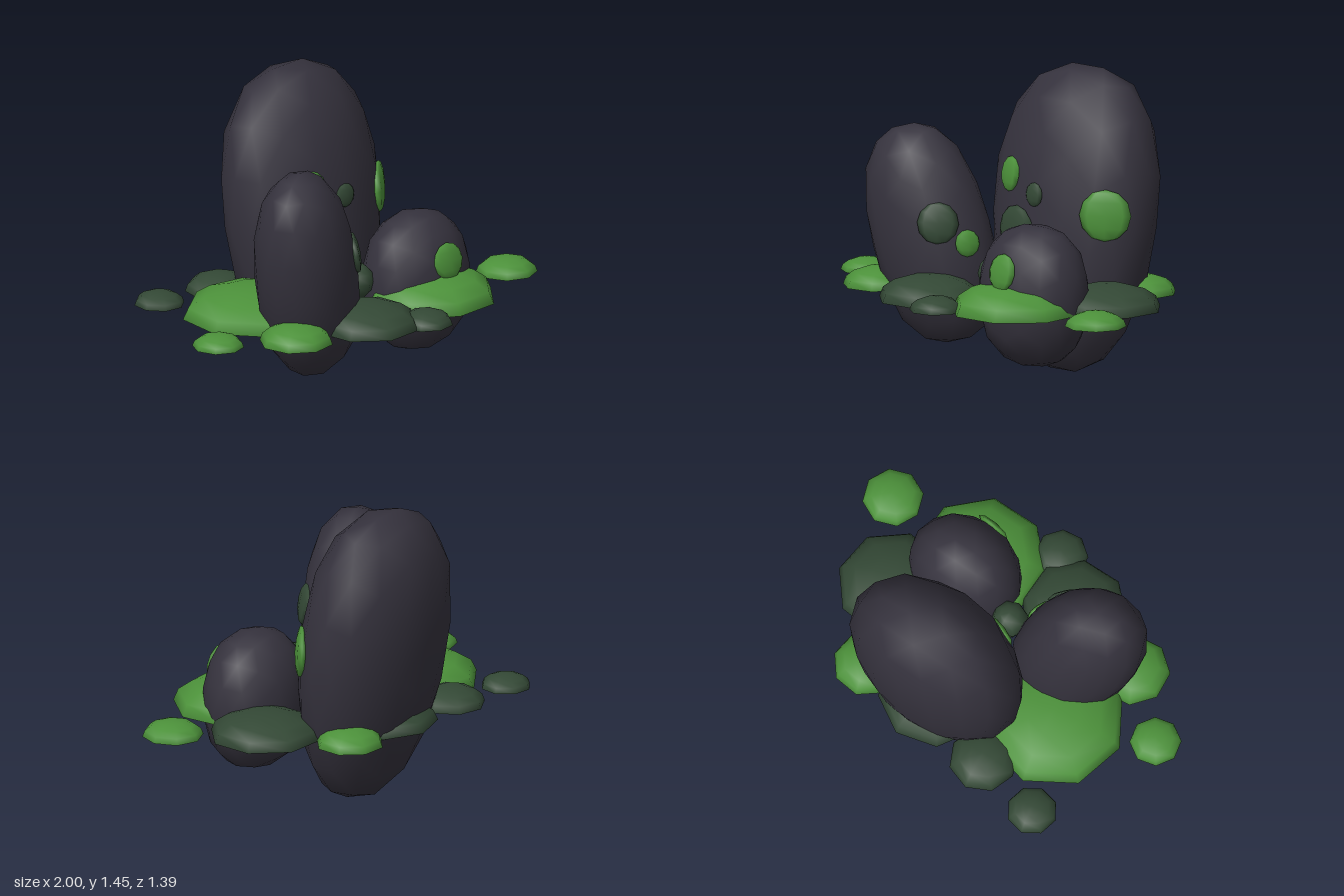
import * as THREE from 'three';
import { mergeVertices } from 'three/addons/utils/BufferGeometryUtils.js';

const rockMat = new THREE.MeshStandardMaterial({ color: 0x35323d });
const greenMat = new THREE.MeshStandardMaterial({ color: 0x4c913a, side: THREE.DoubleSide });
const darkMat = new THREE.MeshStandardMaterial({ color: 0x334835, side: THREE.DoubleSide });

const domeGeo = new THREE.SphereGeometry(1, 8, 4, 0, Math.PI * 2, 0, Math.PI / 2);
const patchGeo = new THREE.SphereGeometry(1, 8, 6);

const GROUND = 0.395;

// Blunt unit boulder, round from above; a positive taper narrows the bottom
function rockGeometry(power, taper) {
  const base = new THREE.IcosahedronGeometry(1, 2);
  base.deleteAttribute('normal');
  base.deleteAttribute('uv');
  const geo = mergeVertices(base);
  const pos = geo.attributes.position;
  const v = new THREE.Vector3();
  for (let i = 0; i < pos.count; i++) {
    v.fromBufferAttribute(pos, i);
    const sum = Math.hypot(v.x, v.z) ** power + Math.abs(v.y) ** power;
    v.multiplyScalar(sum ** (-1 / power));
    const k = 1 + taper * v.y;
    pos.setXYZ(i, v.x * k, v.y, v.z * k);
  }
  geo.computeVertexNormals();
  return geo;
}

function add(parent, name, geo, mat, pos, scale, rot = [0, 0, 0]) {
  const mesh = new THREE.Mesh(geo, mat);
  mesh.name = name;
  mesh.position.set(...pos);
  mesh.scale.set(...scale);
  mesh.rotation.set(...rot);
  parent.add(mesh);
  mesh.updateMatrixWorld(true);
  return mesh;
}

export function createModel() {
  const model = new THREE.Group();
  model.name = 'mossyRocks';

  // Three leaning boulders
  const tall = add(model, 'tallRock', rockGeometry(2.4, 0.09), rockMat,
    [0.13, 0.73, -0.317], [0.45, 0.738, 0.297], [-0.125, 0, 0]);
  const leaning = add(model, 'leaningRock', rockGeometry(2.5, -0.04), rockMat,
    [-0.37, 0.66, 0.152], [0.292, 0.535, 0.24], [0, 0.38, 0.27]);
  const small = add(model, 'smallRock', rockGeometry(2.35, 0), rockMat,
    [0.345, 0.46, 0.215], [0.287, 0.342, 0.233]);

  // Open moss domes on the ground: x, z, radius, height, material
  const domes = [
    [-0.42, -0.14, 0.345, 0.145, greenMat],
    [0.47, -0.42, 0.165, 0.09, greenMat],
    [0.33, 0.32, 0.32, 0.15, greenMat],
    [-0.585, 0.28, 0.178, 0.095, greenMat],
    [-0.88, 0.045, 0.124, 0.063, greenMat],
    [0.853, 0.34, 0.147, 0.075, greenMat],
    [-0.26, -0.5, 0.165, 0.09, darkMat],
    [-0.6, -0.58, 0.122, 0.065, darkMat],
    [0.6, -0.02, 0.27, 0.12, darkMat],
    [-0.18, 0.37, 0.255, 0.12, darkMat],
    [0.03, 0.56, 0.13, 0.07, darkMat],
    [0.12, -0.36, 0.27, 0.12, darkMat],
  ];
  domes.forEach(([x, z, r, h, mat], i) =>
    add(model, 'groundMoss' + (i + 1), domeGeo, mat, [x, GROUND, z], [r, h, r], [0, i * 0.9 + 0.17, 0]));

  // Moss tuft wedged between the rocks
  add(model, 'middleMoss', patchGeo, darkMat, [0.02, 0.51, 0.12], [0.09, 0.09, 0.09]);

  // Flat moss patches hugging the front of each rock: rock, x, y, radius, material
  const patches = [
    [tall, -0.075, 0.95, 0.085, greenMat],
    [tall, 0.12, 0.88, 0.058, darkMat],
    [tall, 0.01, 0.69, 0.125, darkMat],
    [tall, 0.48, 0.81, 0.125, greenMat],
    [leaning, -0.19, 0.75, 0.1, darkMat],
    [leaning, -0.095, 0.65, 0.065, greenMat],
    [small, 0.335, 0.6, 0.09, greenMat],
  ];
  const ray = new THREE.Raycaster();
  const forward = new THREE.Vector3(0, 0, 1);
  patches.forEach(([rock, x, y, r, mat], i) => {
    ray.set(new THREE.Vector3(x, y, 5), new THREE.Vector3(0, 0, -1));
    const hit = ray.intersectObject(rock)[0];
    const normal = hit.face.normal.clone()
      .applyNormalMatrix(new THREE.Matrix3().getNormalMatrix(rock.matrixWorld));
    const patch = add(model, 'rockMoss' + (i + 1), patchGeo, mat, hit.point.toArray(), [r, r, 0.15 * r + 0.01]);
    patch.quaternion.setFromUnitVectors(forward, normal);
  });

  return model;
}
